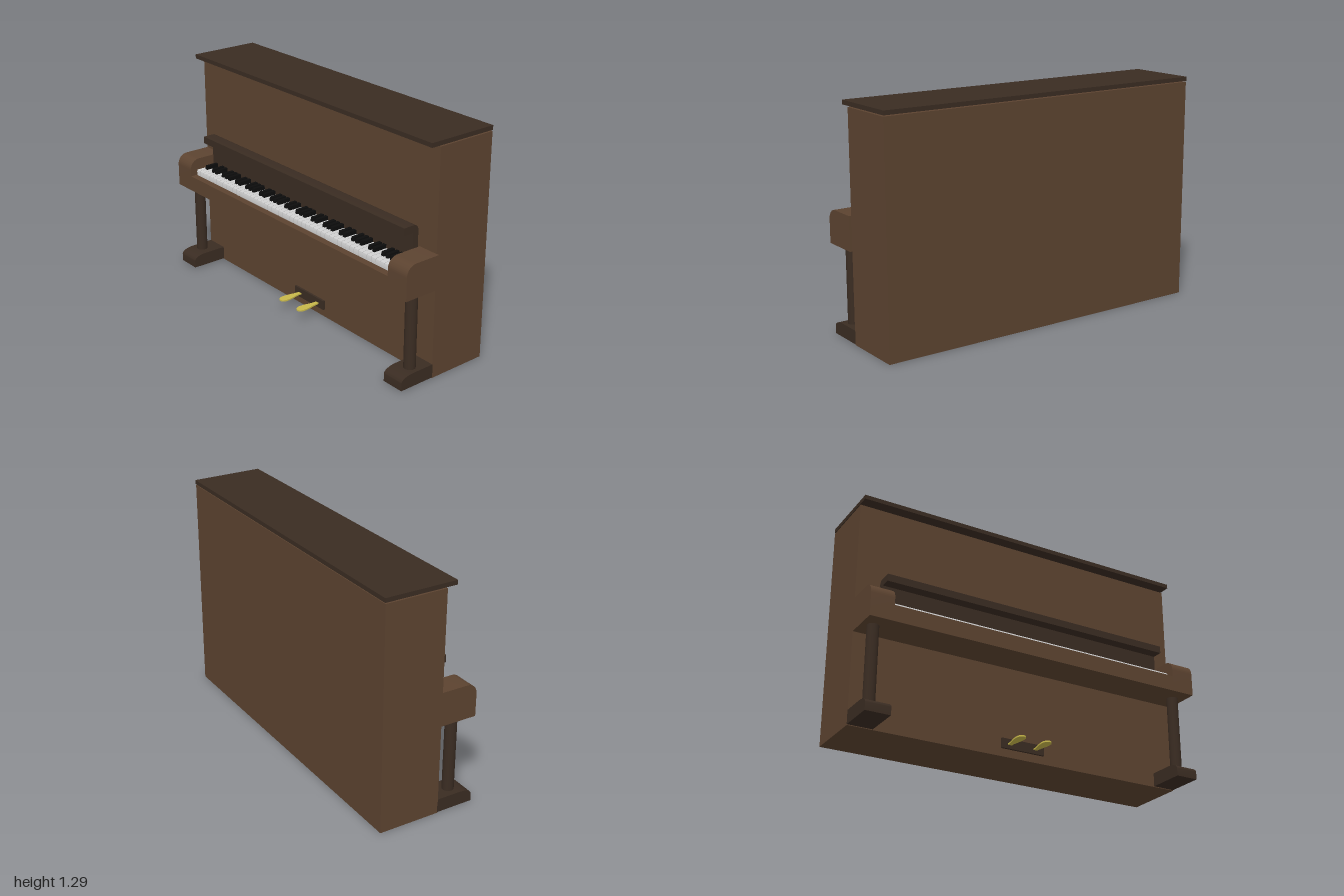
import * as THREE from 'three';
import { toCreasedNormals } from 'three/addons/utils/BufferGeometryUtils.js';

const material = (color) => new THREE.MeshStandardMaterial({ color });

export function createModel() {
  const piano = new THREE.Group();
  piano.name = 'uprightPiano';
  const wood = material(0x5c4330);
  const darkWood = material(0x3a2c22);
  const ivory = material(0xf2f2f2);
  const ebony = material(0x0c0c0c);
  const brass = material(0xc8b84a);

  const add = (name, geometry, mat, parent = piano) => {
    const mesh = new THREE.Mesh(geometry, mat);
    mesh.name = name;
    parent.add(mesh);
    return mesh;
  };

  // Box given by its limits on each axis
  const box = (name, [x0, x1], [y0, y1], [z0, z1], mat, parent) => {
    const mesh = add(name, new THREE.BoxGeometry(x1 - x0, y1 - y0, z1 - z0), mat, parent);
    mesh.position.set((x0 + x1) / 2, (y0 + y1) / 2, (z0 + z1) / 2);
    return mesh;
  };

  // Side profile drawn in (z, y), extruded from x0 to x1
  const profile = (name, shape, x0, x1, mat, parent) => {
    const g = new THREE.ExtrudeGeometry(shape, { depth: x1 - x0, bevelEnabled: false, curveSegments: 10 });
    g.rotateY(-Math.PI / 2).translate(x1, 0, 0);
    return add(name, toCreasedNormals(g, 0.6), mat, parent);
  };

  // Case and lid
  box('case', [-1, 0.985], [0, 1.26], [-0.28, 0.072], wood);
  box('lid', [-1, 0.985], [1.266, 1.29], [-0.283, 0.13], darkWood);

  // Key bed between the arms
  box('keyBed', [-0.87, 0.865], [0.51, 0.6], [0.07, 0.283], wood);

  // Arms, rounded at the upper front
  const arm = new THREE.Shape();
  arm.moveTo(0.07, 0.51);
  arm.lineTo(0.283, 0.51);
  arm.lineTo(0.283, 0.64);
  arm.absarc(0.223, 0.64, 0.06, 0, Math.PI / 2, false);
  arm.lineTo(0.07, 0.7);
  arm.closePath();
  profile('rightArm', arm, -1, -0.868, wood);
  profile('leftArm', arm, 0.864, 1, wood);

  // Fallboard with its forward lip
  const fall = new THREE.Shape();
  fall.moveTo(0.085, 0.6);
  fall.lineTo(0.12, 0.6);
  fall.lineTo(0.12, 0.785);
  fall.lineTo(0.181, 0.785);
  fall.lineTo(0.181, 0.826);
  fall.lineTo(0.117, 0.826);
  fall.absarc(0.117, 0.794, 0.032, Math.PI / 2, Math.PI, false);
  fall.closePath();
  profile('fallboard', fall, -0.87, 0.865, darkWood);

  // Keyboard: 52 white keys with rounded front edges, black keys in groups of two and three
  const keyboard = new THREE.Group();
  keyboard.name = 'keyboard';
  piano.add(keyboard);
  const whiteKey = new THREE.Shape();
  whiteKey.moveTo(0.12, 0.6);
  whiteKey.lineTo(0.242, 0.6);
  whiteKey.lineTo(0.242, 0.624);
  whiteKey.absarc(0.232, 0.624, 0.01, 0, Math.PI / 2, false);
  whiteKey.lineTo(0.12, 0.634);
  whiteKey.closePath();
  const blackKey = new THREE.Shape();
  blackKey.moveTo(0.12, 0.625);
  blackKey.lineTo(0.2, 0.625);
  blackKey.lineTo(0.192, 0.656);
  blackKey.lineTo(0.12, 0.656);
  blackKey.closePath();
  const count = 52, start = -0.865, pitch = 1.726 / count;
  for (let i = 0; i < count; i++) {
    const x = start + i * pitch;
    profile('whiteKey', whiteKey, x + 0.0015, x + pitch - 0.0015, ivory, keyboard);
    // Keys start on A; no black key after B or E
    const note = i % 7;
    if (note !== 1 && note !== 4 && i < count - 1) {
      profile('blackKey', blackKey, x + pitch - 0.01, x + pitch + 0.01, ebony, keyboard);
    }
  }

  // Feet with a sloping rounded toe, and round legs
  const foot = new THREE.Shape();
  foot.moveTo(0.07, 0.004);
  foot.lineTo(0.285, 0.004);
  foot.lineTo(0.285, 0.048);
  foot.bezierCurveTo(0.283, 0.066, 0.25, 0.08, 0.205, 0.08);
  foot.lineTo(0.07, 0.08);
  foot.closePath();
  for (const [side, x0, x1, legX] of [['right', -1, -0.862, -0.937], ['left', 0.855, 0.986, 0.931]]) {
    profile(side + 'Foot', foot, x0, x1, darkWood);
    const leg = add(side + 'Leg', new THREE.CylinderGeometry(0.032, 0.032, 0.43, 32), darkWood);
    leg.position.set(legX, 0.296, 0.18);
  }

  // Pedal plate and two paddle-shaped pedals
  box('pedalPlate', [-0.132, 0.124], [0.045, 0.1], [0.07, 0.084], darkWood);
  const paddle = new THREE.Shape();
  paddle.moveTo(-0.011, 0);
  paddle.lineTo(0.011, 0);
  paddle.bezierCurveTo(0.012, -0.05, 0.026, -0.07, 0.026, -0.11);
  paddle.bezierCurveTo(0.026, -0.16, -0.026, -0.16, -0.026, -0.11);
  paddle.bezierCurveTo(-0.026, -0.07, -0.012, -0.05, -0.011, 0);
  const pedalShape = new THREE.ExtrudeGeometry(paddle, { depth: 0.008, bevelEnabled: false, curveSegments: 10 });
  pedalShape.rotateX(-Math.PI / 2);
  const pedalGeometry = toCreasedNormals(pedalShape, 0.6);
  for (const x of [-0.085, 0.071]) {
    add('pedal', pedalGeometry, brass).position.set(x, 0.066, 0.08);
  }

  return piano;
}
